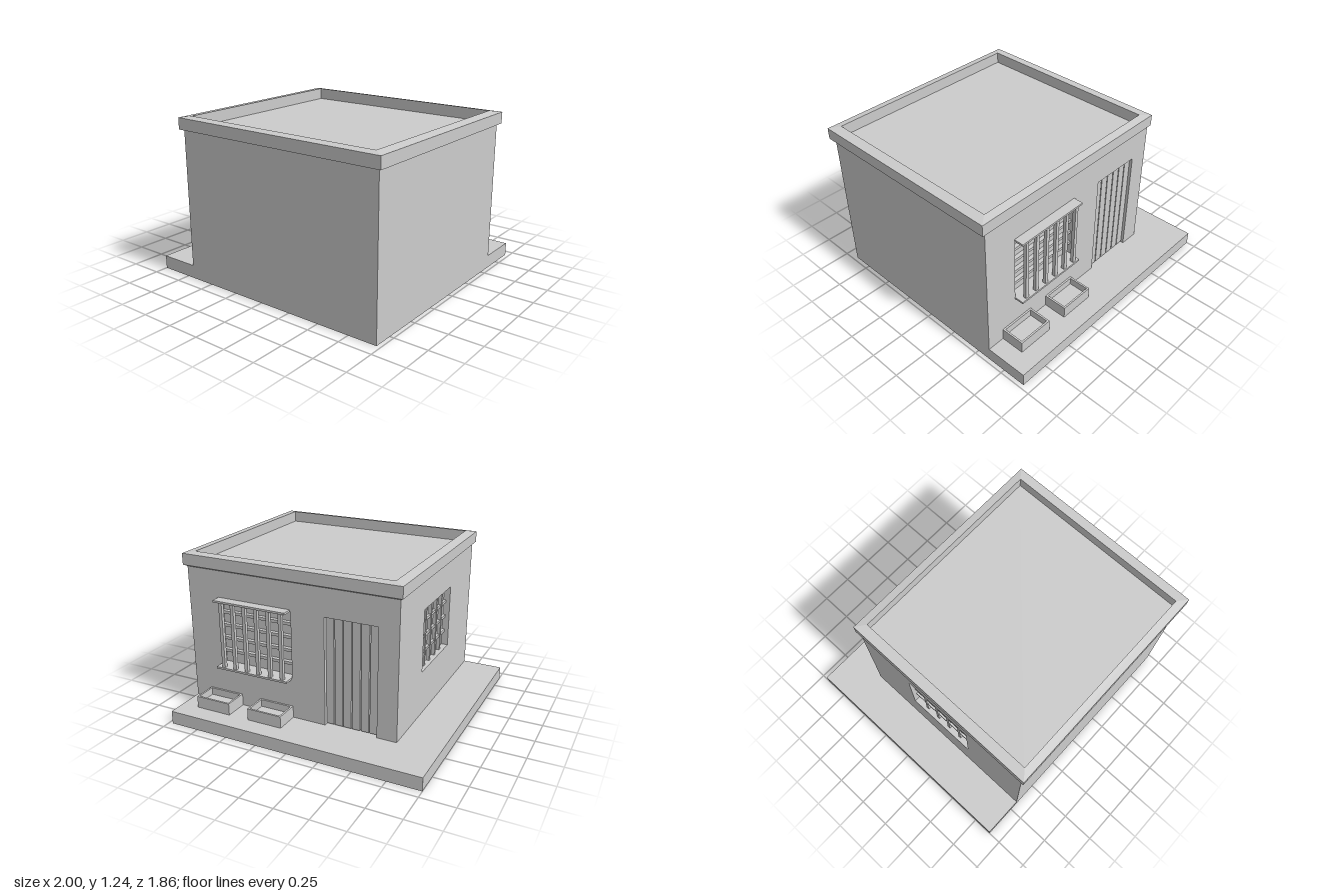
import * as THREE from 'three';

const material = new THREE.MeshStandardMaterial({ color: 0xcccccc, flatShading: true });
const WALL = { x0: -0.69, x1: 0.97, z0: -0.61, z1: 0.9, y0: 0.1, y1: 1.135 };
const SKIN = 0.05; // depth of the door and window recesses

function add(parent, name, geometry) {
  const mesh = new THREE.Mesh(geometry, material);
  mesh.name = name;
  parent.add(mesh);
  return mesh;
}

// Box given by its minimum and maximum on each axis
function box(parent, name, x0, x1, y0, y1, z0, z1) {
  const mesh = add(parent, name, new THREE.BoxGeometry(x1 - x0, y1 - y0, z1 - z0));
  mesh.position.set((x0 + x1) / 2, (y0 + y1) / 2, (z0 + z1) / 2);
  return mesh;
}

function rectangle(Type, u0, u1, v0, v1) {
  const r = new Type();
  r.moveTo(u0, v0).lineTo(u1, v0).lineTo(u1, v1).lineTo(u0, v1).closePath();
  return r;
}

function extrude(shape, depth) {
  return new THREE.ExtrudeGeometry(shape, { depth, bevelEnabled: false });
}

// Rectangular rings [x0, x1, z0, z1, y] joined in order, closed by a floor
function ringGeometry(rings) {
  const corners = rings.map(([x0, x1, z0, z1, y]) => [[x0, y, z1], [x1, y, z1], [x1, y, z0], [x0, y, z0]]);
  const points = [];
  for (let i = 0; i < corners.length - 1; i++) {
    for (let j = 0; j < 4; j++) {
      const k = (j + 1) % 4;
      const [a, b, c, d] = [corners[i][j], corners[i][k], corners[i + 1][k], corners[i + 1][j]];
      points.push(...a, ...b, ...c, ...a, ...c, ...d);
    }
  }
  const [a, b, c, d] = corners[corners.length - 1];
  points.push(...a, ...b, ...c, ...a, ...c, ...d);
  const geometry = new THREE.BufferGeometry();
  geometry.setAttribute('position', new THREE.Float32BufferAttribute(points, 3));
  geometry.computeVertexNormals();
  return geometry;
}

export function createModel() {
  const model = new THREE.Group();
  model.name = 'house';
  const { x0, x1, z0, z1, y0, y1 } = WALL;

  // Paved base and solid core of the house
  box(model, 'base', -1, x1, 0, y0, -0.93, z1);
  box(model, 'houseCore', x0 + SKIN, x1, y0, y1, z0 + SKIN, z1);

  // Back wall with a door notch and a window hole
  const door = { x0: -0.54, x1: -0.14, top: 0.92 };
  const win = { x0: 0.12, x1: 0.71, y0: 0.415, y1: 0.915 };
  const back = new THREE.Shape();
  back.moveTo(x0, y0).lineTo(door.x0, y0).lineTo(door.x0, door.top).lineTo(door.x1, door.top)
    .lineTo(door.x1, y0).lineTo(x1, y0).lineTo(x1, y1).lineTo(x0, y1).closePath();
  back.holes.push(rectangle(THREE.Path, win.x0, win.x1, win.y0, win.y1));
  add(model, 'backWall', extrude(back, SKIN)).position.z = z0;

  // Side wall with a window hole, turned to face -x
  const side = { z0: -0.16, z1: 0.395, y0: 0.44, y1: 0.915 };
  const sideShape = rectangle(THREE.Shape, z0 + SKIN, z1, y0, y1);
  sideShape.holes.push(rectangle(THREE.Path, side.z0, side.z1, side.y0, side.y1));
  const sideWall = add(model, 'sideWall', extrude(sideShape, SKIN));
  sideWall.rotation.y = -Math.PI / 2;
  sideWall.position.x = x0 + SKIN;

  // Plank door
  const doorGroup = new THREE.Group();
  doorGroup.name = 'door';
  model.add(doorGroup);
  const plank = (door.x1 - door.x0) / 6;
  for (let i = 0; i < 6; i++) {
    const left = door.x0 + i * plank;
    box(doorGroup, 'doorPlank', left + 0.004, left + plank - 0.004, y0 + 0.01, door.top, z0 + 0.02, z0 + SKIN);
  }

  // Back window: ledges, upright bars and the rails behind them
  const backWindow = new THREE.Group();
  backWindow.name = 'backWindow';
  model.add(backWindow);
  for (const y of [0.4, 0.915]) box(backWindow, 'windowLedge', 0.125, 0.715, y, y + 0.015, -0.685, z0);
  for (let i = 0; i < 6; i++) {
    const x = 0.17 + i * 0.098;
    box(backWindow, 'windowBar', x - 0.013, x + 0.013, win.y0, win.y1, -0.676, -0.65);
  }
  for (let i = 1; i <= 4; i++) {
    const y = win.y0 + i * 0.1;
    box(backWindow, 'windowRail', win.x0, win.x1, y - 0.011, y + 0.011, z0 + 0.02, z0 + SKIN);
  }

  // Side window lattice
  const sideWindow = new THREE.Group();
  sideWindow.name = 'sideWindow';
  model.add(sideWindow);
  for (let i = 1; i <= 4; i++) {
    const z = side.z0 + (side.z1 - side.z0) * i / 5;
    box(sideWindow, 'latticePost', x0 + 0.025, x0 + SKIN, side.y0, side.y1, z - 0.011, z + 0.011);
  }
  for (let i = 1; i <= 3; i++) {
    const y = side.y0 + (side.y1 - side.y0) * i / 4;
    box(sideWindow, 'latticeRail', x0 + 0.03, x0 + SKIN, y - 0.01, y + 0.01, side.z0, side.z1);
  }

  // Hollow planters against the back wall
  for (const [a, b] of [[0.12, 0.395], [0.555, 0.835]]) {
    const t = 0.014;
    add(model, 'planter', ringGeometry([
      [a, b, -0.79, z0, y0],
      [a, b, -0.79, z0, 0.19],
      [a + t, b - t, -0.79 + t, z0 - t, 0.19],
      [a + t, b - t, -0.79 + t, z0 - t, 0.135],
    ]));
  }

  // Overhanging roof with a raised rim and sunken floor
  add(model, 'roof', ringGeometry([
    [x0, x1, z0, z1, 1.13],
    [-0.71, 1, -0.625, 0.93, 1.14],
    [-0.71, 1, -0.625, 0.93, 1.225],
    [-0.635, 0.925, -0.565, 0.87, 1.235],
    [-0.635, 0.925, -0.565, 0.87, 1.15],
  ]));

  return model;
}
